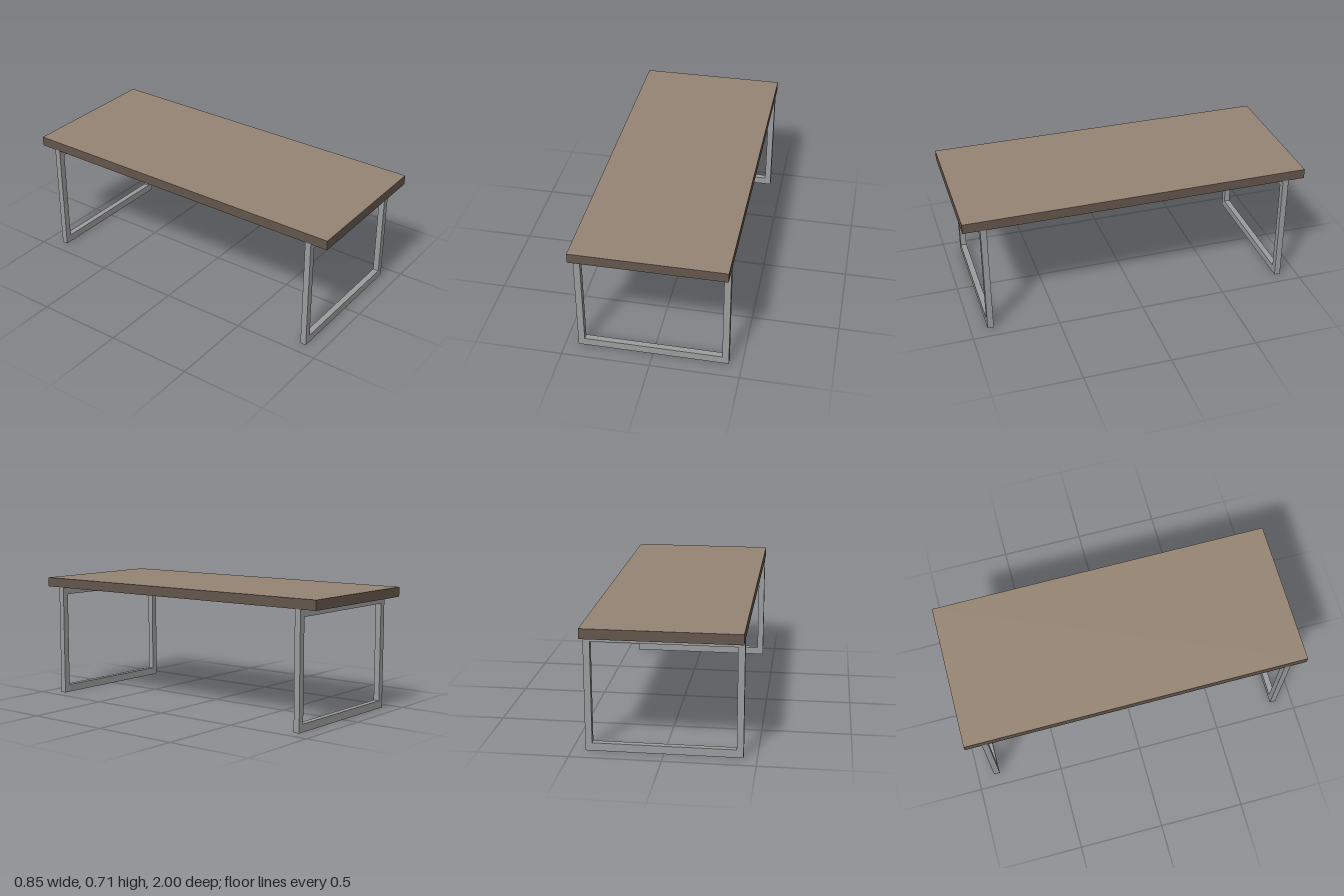
import * as THREE from 'three';

const material = (name, color) => {
  const m = new THREE.MeshStandardMaterial({ color });
  m.name = name;
  return m;
};

// Rectangular outline from two opposite corners
const trace = (path, x, y0, y1) => {
  path.moveTo(-x, y0);
  path.lineTo(x, y0);
  path.lineTo(x, y1);
  path.lineTo(-x, y1);
  path.closePath();
  return path;
};

export function createModel() {
  const group = new THREE.Group();
  group.name = 'table';

  const wood = material('wood top', 0x968574);
  const edge = material('dark wood edge', 0x64574c);
  const steel = material('grey steel', 0x9c9d9e);

  // Tabletop slab: lighter upper face, dark edges and underside
  const top = new THREE.Mesh(
    new THREE.BoxGeometry(0.854, 0.056, 2),
    [edge, edge, wood, edge, edge, edge]
  );
  top.name = 'tabletop';
  top.position.y = 0.687;
  group.add(top);

  // Closed rectangular leg frames, one near each end
  const depth = 0.035;
  const outline = trace(new THREE.Shape(), 0.427, 0, 0.659);
  outline.holes.push(trace(new THREE.Path(), 0.39, 0.045, 0.616));
  const frame = new THREE.ExtrudeGeometry(outline, { depth, bevelEnabled: false });
  frame.translate(0, 0, -depth / 2);

  for (const [name, z] of [['frontLegFrame', 0.886], ['backLegFrame', -0.886]]) {
    const leg = new THREE.Mesh(frame, steel);
    leg.name = name;
    leg.position.z = z;
    group.add(leg);
  }

  return group;
}
